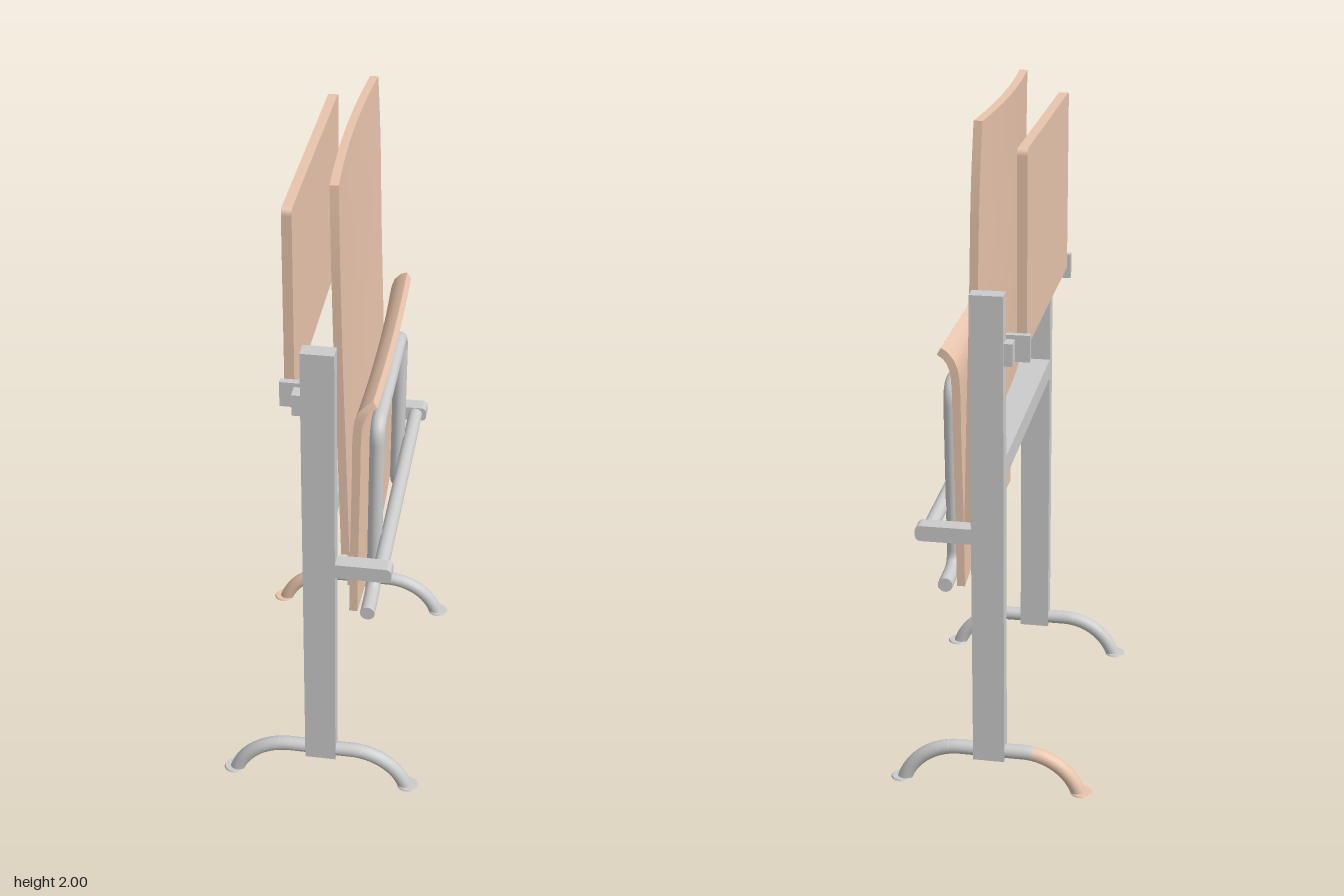
import * as THREE from 'three';

const grey = new THREE.MeshStandardMaterial({ color: 0xcccccc });
const wood = new THREE.MeshStandardMaterial({ color: 0xe8c4ac });
const V = (x, y, z) => new THREE.Vector3(x, y, z);

export function createModel() {
  const group = new THREE.Group();

  const add = (name, geometry, material = grey) => {
    const mesh = new THREE.Mesh(geometry, material);
    mesh.name = name;
    group.add(mesh);
    return mesh;
  };

  // Box given by its minimum and maximum on each axis
  const box = (name, x0, x1, y0, y1, z0, z1) =>
    add(name, new THREE.BoxGeometry(x1 - x0, y1 - y0, z1 - z0)
      .translate((x0 + x1) / 2, (y0 + y1) / 2, (z0 + z1) / 2));

  // Moulded plywood: a box bent along a side profile, dished across its width
  const sheet = (name, profile, thickness, dish, halfWidth) => {
    const curve = new THREE.CatmullRomCurve3(profile.map(([x, y]) => V(x, y, 0)));
    const g = new THREE.BoxGeometry(1, 1, 2, 1, 32, 32);
    const p = g.attributes.position;
    for (let i = 0; i < p.count; i++) {
      const t = p.getY(i) + 0.5, s = p.getZ(i);
      const c = curve.getPointAt(t), d = curve.getTangentAt(t);
      const off = p.getX(i) * thickness + dish * (1 - s * s);
      p.setXYZ(i, c.x + d.y * off, c.y - d.x * off, s * halfWidth(t));
    }
    g.computeVertexNormals();
    return add(name, g, wood);
  };

  // Backrest, narrowing toward its top edge
  sheet('backrest', [[0.07, 0.84], [0.061, 1.15], [0.05, 1.5], [0.043, 1.8], [0.037, 1.999]],
    0.024, -0.014, t => 0.39 - 0.022 * Math.max(0, (t - 0.75) / 0.25) ** 2);

  // Folded seat with a curled front lip
  sheet('seat', [[0.094, 0.635], [0.096, 0.85], [0.1, 1.1], [0.102, 1.25], [0.107, 1.3], [0.123, 1.335], [0.151, 1.352]],
    0.024, 0.009, t => 0.39 - 0.012 * Math.max(0, (t - 0.92) / 0.08) ** 2);

  // Folded writing panel behind the backrest
  const panel = new THREE.Shape();
  const r = 0.02, w = 0.39;
  panel.moveTo(-w, 1.38).lineTo(w, 1.38).lineTo(w, 1.933 - r)
    .quadraticCurveTo(w, 1.933, w - r, 1.933).lineTo(r - w, 1.933)
    .quadraticCurveTo(-w, 1.933, -w, 1.933 - r);
  add('writingPanel', new THREE.ExtrudeGeometry(panel, { depth: 0.028, bevelEnabled: false })
    .rotateY(Math.PI / 2).translate(-0.099, 0, 0), wood);

  // Cross beam joining the posts
  box('crossBeam', -0.044, 0.05, 1.0, 1.062, -0.41, 0.41);

  // Seat frame: one tube with rounded bends
  const corners = [V(0.138, 0.642, -0.405), V(0.138, 0.642, -0.265), V(0.143, 1.211, -0.265),
    V(0.143, 1.211, 0.265), V(0.138, 0.642, 0.265), V(0.138, 0.642, 0.405)];
  const path = new THREE.CurvePath();
  let from = corners[0];
  for (let i = 1; i < 5; i++) {
    const c = corners[i], bend = 0.055;
    const a = c.clone().add(corners[i - 1].clone().sub(c).setLength(bend));
    const b = c.clone().add(corners[i + 1].clone().sub(c).setLength(bend));
    path.add(new THREE.LineCurve3(from, a));
    path.add(new THREE.QuadraticBezierCurve3(a, c, b));
    from = b;
  }
  path.add(new THREE.LineCurve3(from, corners[5]));
  add('seatFrame', new THREE.TubeGeometry(path, 160, 0.022, 16));
  for (const s of [-1, 1]) {
    const cap = add('seatFrameCap', new THREE.CircleGeometry(0.022, 16));
    cap.position.set(0.138, 0.642, s * 0.405);
    if (s < 0) cap.rotation.y = Math.PI;
  }

  // Front rod carried by the two side arms
  add('frontRod', new THREE.CylinderGeometry(0.022, 0.022, 0.83, 20)
    .rotateX(Math.PI / 2).translate(0.178, 0.826, 0));

  for (const s of [-1, 1]) {
    const side = (name, x0, x1, y0, y1, z0, z1) =>
      box(name, x0, x1, y0, y1, Math.min(s * z0, s * z1), Math.max(s * z0, s * z1));
    side('post', -0.044, 0.05, 0.095, 1.545, 0.409, 0.457);

    // Side arm with a rounded end
    const arm = new THREE.Shape();
    arm.moveTo(0.05, 0.803).lineTo(0.195, 0.803).quadraticCurveTo(0.213, 0.803, 0.213, 0.821)
      .lineTo(0.213, 0.832).quadraticCurveTo(0.213, 0.85, 0.195, 0.85).lineTo(0.05, 0.85);
    add('sideArm', new THREE.ExtrudeGeometry(arm, { depth: 0.048, bevelEnabled: false })
      .translate(0, 0, s * 0.433 - 0.024));

    // Panel hinge bracket
    side('hingePlate', -0.11, -0.036, 1.345, 1.422, 0.39, 0.41);
    side('hingeBlock', -0.069, -0.044, 1.345, 1.41, 0.409, 0.453);

    // Arched foot: straight middle, curved ends, flat pads
    const z = s * 0.434;
    add('footBar', new THREE.CylinderGeometry(0.022, 0.022, 0.19, 16)
      .rotateZ(Math.PI / 2).translate(0, 0.121, z));
    for (const dir of [-1, 1]) {
      const material = s < 0 && dir < 0 ? wood : grey;
      const arc = (a0, a1, mat) => {
        const pts = [];
        for (let i = 0; i <= 10; i++) {
          const a = a0 + (a1 - a0) * i / 10;
          pts.push(V(dir * (0.095 + 0.18 * Math.sin(a)), -0.059 + 0.18 * Math.cos(a), z));
        }
        const g = new THREE.TubeGeometry(new THREE.CatmullRomCurve3(pts), 16, 0.022, 16);
        const p = g.attributes.position;
        for (let i = 0; i < p.count; i++) p.setY(i, Math.max(0, p.getY(i)));
        add('footArch', g, mat);
      };
      arc(0, 0.17, grey);
      arc(0.17, 1.25, material);
      add('footPad', new THREE.CylinderGeometry(0.03, 0.033, 0.005, 24)
        .translate(dir * 0.274, 0.0025, z), material);
    }
  }
  return group;
}
